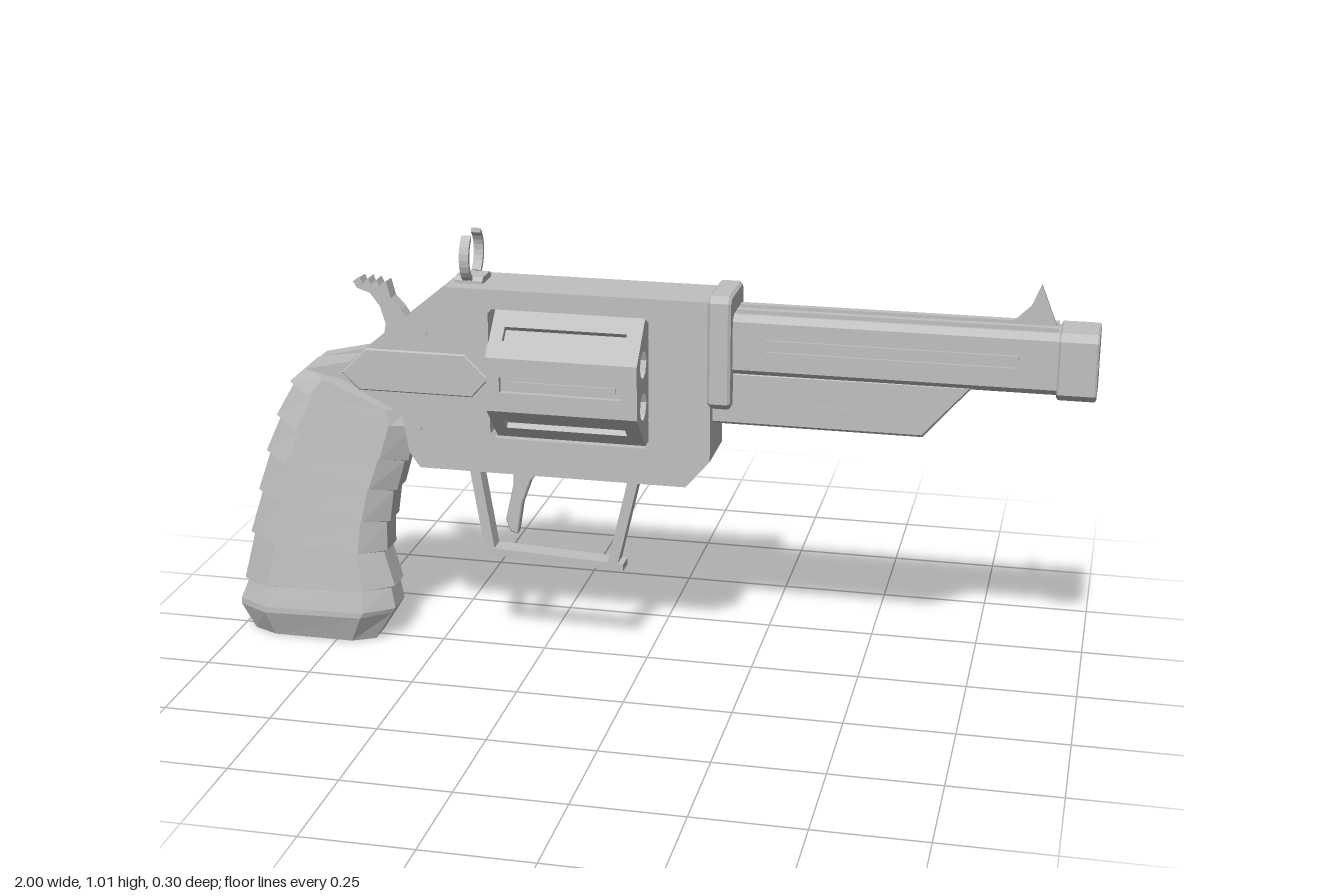
import * as THREE from 'three';

const steel = new THREE.MeshStandardMaterial({ color: 0xc0c0c0 });
steel.name = 'plain grey';

// Faceted mesh
function part(name, geo, parent) {
  const g = geo.index ? geo.toNonIndexed() : geo;
  g.computeVertexNormals();
  const m = new THREE.Mesh(g, steel);
  m.name = name;
  parent.add(m);
  return m;
}
const shapeOf = (pts) => new THREE.Shape(pts.map((p) => new THREE.Vector2(p[0], p[1])));
const pathOf = (pts) => new THREE.Path(pts.map((p) => new THREE.Vector2(p[0], p[1])));

// Side profile (x, y) given thickness from z0 to z1
function slab(pts, z0, z1, hole, bevel = 0) {
  const s = shapeOf(pts);
  if (hole) s.holes.push(pathOf(hole));
  const g = new THREE.ExtrudeGeometry(s, {
    depth: z1 - z0 - 2 * bevel, bevelEnabled: bevel > 0, bevelThickness: bevel,
    bevelSize: bevel, bevelOffset: -bevel, bevelSegments: 1, curveSegments: 8,
  });
  return g.translate(0, 0, z0 + bevel);
}
// Cross-section (z, y) swept along x from x0 to x1
function sweepX(pts, x0, x1, holes = [], bevel = 0) {
  const s = shapeOf(pts);
  holes.forEach((h) => s.holes.push(pathOf(h)));
  const g = new THREE.ExtrudeGeometry(s, {
    depth: x1 - x0 - 2 * bevel, bevelEnabled: bevel > 0, bevelThickness: bevel,
    bevelSize: bevel, bevelOffset: -bevel, bevelSegments: 1,
  });
  return g.rotateY(Math.PI / 2).translate(x0 + bevel, 0, 0);
}
// Rectangle with cut corners, half width w, from y0 to y1
const cutRect = (w, y0, y1, c) => [
  [-w + c, y0], [w - c, y0], [w, y0 + c], [w, y1 - c],
  [w - c, y1], [-w + c, y1], [-w, y1 - c], [-w, y0 + c],
];
const polygon = (cx, cy, r, n, a0 = 0) => Array.from({ length: n }, (_, i) => {
  const a = a0 + (i / n) * Math.PI * 2;
  return [cx + r * Math.cos(a), cy + r * Math.sin(a)];
});
// Straight bar between two points of the side plane
function bar(a, b, t, w) {
  const dx = b[0] - a[0], dy = b[1] - a[1];
  return new THREE.BoxGeometry(Math.hypot(dx, dy), t, w)
    .rotateZ(Math.atan2(dy, dx))
    .translate((a[0] + b[0]) / 2, (a[1] + b[1]) / 2, 0);
}

function buildFrame(root) {
  const g = new THREE.Group();
  g.name = 'frame';
  root.add(g);
  const lower = [[-0.70, 0.665], [-0.56, 0.59], [-0.545, 0.5], [-0.52, 0.465], [0.105, 0.465], [0.16, 0.53], [0.16, 0.9], [-0.45, 0.9]];
  const cheek = [[-0.79, 0.685], ...lower, [-0.68, 0.71]];
  const core = [[-0.79, 0.685], ...lower, [-0.48, 0.875], [-0.51, 0.75], [-0.66, 0.705]];
  const win = [[-0.35, 0.56], [-0.34, 0.55], [0.01, 0.55], [0.02, 0.56], [0.02, 0.845], [0.01, 0.855], [-0.34, 0.855], [-0.35, 0.845]];
  part('frameCore', slab(core, -0.03, 0.03, win), g);
  const panel = [[-0.70, 0.685], [-0.66, 0.645], [-0.39, 0.645], [-0.35, 0.69], [-0.405, 0.745], [-0.64, 0.745]];
  for (const s of [-1, 1]) {
    part('frameCheek', s > 0 ? slab(cheek, 0.03, 0.073, win) : slab(cheek, -0.073, -0.03, win), g);
    part('sidePanel', slab(panel, s > 0 ? 0.07 : -0.079, s > 0 ? 0.079 : -0.07, null, 0.003), g);
    for (const [x, y] of [[-0.5, 0.79], [-0.52, 0.56]]) {
      part('pin', new THREE.CylinderGeometry(0.007, 0.007, 0.006, 8).rotateX(Math.PI / 2).translate(x, y, s * 0.075), g);
    }
  }
  part('frontBand', sweepX(cutRect(0.082, 0.655, 0.915, 0.014), 0.153, 0.205, [], 0.006), g);
  part('sideScrew', new THREE.CylinderGeometry(0.02, 0.02, 0.02, 8).rotateX(Math.PI / 2).translate(-0.45, 0.545, -0.078), g);
  part('frontScrew', new THREE.CylinderGeometry(0.013, 0.013, 0.03, 8).rotateX(Math.PI / 2).translate(0.07, 0.463, -0.07), g);
}

function buildDrum(root) {
  const g = new THREE.Group();
  g.name = 'drum';
  root.add(g);
  // Octagon, plain or with a slot in every face
  const R = 0.15, half = R * Math.tan(Math.PI / 8);
  const ring = (slot) => {
    const pts = [];
    for (let i = 0; i < 8; i++) {
      const a = (i / 8) * Math.PI * 2, c = Math.cos(a), s = Math.sin(a);
      const add = (r, t) => pts.push([r * c - t * s, r * s + t * c]);
      add(R, -half);
      if (slot) { add(R, -0.018); add(R - 0.014, -0.018); add(R - 0.014, 0.018); add(R, 0.018); }
    }
    return pts;
  };
  const spots = polygon(0, 0, 0.098, 6, Math.PI / 6);
  const chambers = spots.map(([x, y]) => polygon(x, y, 0.033, 8));
  part('drumRear', sweepX(ring(false), -0.335, -0.305), g);
  part('drumBody', sweepX(ring(true), -0.305, -0.025, chambers), g);
  part('drumFront', sweepX(ring(false), -0.025, 0.01, chambers), g);
  for (const [z, y] of spots) {
    part('rearRim', new THREE.CylinderGeometry(0.03, 0.03, 0.012, 8).rotateZ(Math.PI / 2).translate(-0.34, y, -z), g);
  }
  part('axle', new THREE.CylinderGeometry(0.03, 0.03, 0.39, 8).rotateZ(Math.PI / 2).translate(-0.165, 0, 0), g);
  // Thin raised lines on the two outer faces
  for (const s of [-1, 1]) part('drumLine', new THREE.BoxGeometry(0.25, 0.012, 0.006).translate(-0.165, 0, s * 0.137), g);
  g.position.y = 0.703;
}

function buildBarrel(root) {
  const g = new THREE.Group();
  g.name = 'barrel';
  root.add(g);
  part('barrelBody', sweepX(cutRect(0.053, 0.73, 0.868, 0.014), 0.2, 0.925), g);
  part('muzzle', sweepX(cutRect(0.065, 0.722, 0.873, 0.016), 0.915, 1, [polygon(0, 0.797, 0.022, 8, Math.PI / 8)], 0.004), g);
  for (const s of [-1, 1]) {
    for (const y of [0.785, 0.812]) part('sideRidge', new THREE.BoxGeometry(0.55, 0.01, 0.008).translate(0.555, y, s * 0.055), g);
    part('topRail', new THREE.BoxGeometry(0.7, 0.012, 0.018).translate(0.56, 0.871, s * 0.022), g);
  }
  part('underLug', slab([[0.15, 0.612], [0.63, 0.612], [0.735, 0.735], [0.15, 0.735]], -0.043, 0.043, null, 0.006), g);
  for (const s of [-1, 1]) part('lugLine', new THREE.BoxGeometry(0.45, 0.006, 0.004).translate(0.39, 0.665, s * 0.043), g);
  part('frontSight', slab([[0.8, 0.865], [0.91, 0.865], [0.895, 0.9], [0.87, 0.963], [0.85, 0.915]], -0.007, 0.007), g);
}

function buildRearSight(root) {
  const g = new THREE.Group();
  g.name = 'rearSight';
  root.add(g);
  part('sightBase', sweepX(cutRect(0.035, 0.89, 0.915, 0.008), -0.437, -0.372), g);
  // Two crescent horns
  for (const s of [-1, 1]) {
    const pts = [];
    const arc = (r, a0, a1) => {
      for (let i = 0; i <= 8; i++) {
        const a = a0 + ((a1 - a0) * i) / 8;
        pts.push([s * r * Math.cos(a), 0.96 + r * Math.sin(a)]);
      }
    };
    arc(0.064, -0.95, 0.95);
    arc(0.055, 0.85, -0.95);
    part('sightHorn', sweepX(pts, -0.417, -0.395), g);
  }
}

function buildHammerAndTrigger(root) {
  part('hammer', slab([
    [-0.55, 0.73], [-0.55, 0.79], [-0.572, 0.825], [-0.595, 0.85], [-0.605, 0.888],
    [-0.622, 0.878], [-0.628, 0.892], [-0.642, 0.88], [-0.648, 0.894], [-0.662, 0.88],
    [-0.668, 0.894], [-0.685, 0.885], [-0.675, 0.87], [-0.645, 0.86], [-0.622, 0.83], [-0.61, 0.79], [-0.62, 0.73],
  ], -0.019, 0.019), root);
  part('trigger', slab([
    [-0.245, 0.47], [-0.275, 0.425], [-0.295, 0.37], [-0.307, 0.295], [-0.325, 0.3],
    [-0.335, 0.33], [-0.325, 0.375], [-0.315, 0.42], [-0.315, 0.47],
  ], -0.014, 0.014, null, 0.003), root);
  const g = new THREE.Group();
  g.name = 'triggerGuard';
  root.add(g);
  part('guardRear', bar([-0.41, 0.48], [-0.372, 0.245], 0.024, 0.042), g);
  part('guardFront', bar([-0.022, 0.48], [-0.078, 0.24], 0.024, 0.042), g);
  part('guardBottom', bar([-0.387, 0.25], [-0.052, 0.235], 0.018, 0.046), g);
}

// Grip of overlapping slats: tilted eight-sided rings lofted upward
function buildGrip(root) {
  const rings = [];
  // back point, front point, half width, flat half width at the ends, inset
  const ring = (b, f, w, e, k = 0) => {
    const len = Math.hypot(f[0] - b[0], f[1] - b[1]);
    const at = (t, z) => {
      const u = k / len + t * (1 - (2 * k) / len);
      return [b[0] + (f[0] - b[0]) * u, b[1] + (f[1] - b[1]) * u, z];
    };
    const h = w - k;
    rings.push([at(0, e), at(0.2, h), at(0.83, h), at(1, e), at(1, -e), at(0.83, -h), at(0.2, -h), at(0, -e)]);
  };
  ring([-0.965, 0.003], [-0.66, 0.003], 0.058, 0.03);
  ring([-0.998, 0.065], [-0.615, 0.075], 0.082, 0.035);
  ring([-0.997, 0.08], [-0.607, 0.088], 0.082, 0.035);
  const levels = [
    [[-0.985, 0.13], [-0.607, 0.14]],
    [[-0.963, 0.25], [-0.622, 0.23]],
    [[-0.937, 0.36], [-0.612, 0.305]],
    [[-0.912, 0.46], [-0.592, 0.385]],
    [[-0.882, 0.55], [-0.562, 0.46]],
    [[-0.845, 0.635], [-0.535, 0.545]],
  ];
  levels.forEach(([b, f]) => {
    ring(b, f, 0.082, 0.033, 0.009);
    ring([b[0], b[1] + 0.004], [f[0], f[1] + 0.004], 0.082, 0.033);
  });
  ring([-0.795, 0.683], [-0.56, 0.585], 0.078, 0.033);

  const pos = rings.flat(2), idx = [], n = 8;
  for (let r = 0; r < rings.length - 1; r++) {
    for (let i = 0; i < n; i++) {
      const a = r * n + i, b = r * n + ((i + 1) % n);
      idx.push(a, b, b + n, a, b + n, a + n);
    }
  }
  const top = (rings.length - 1) * n;
  for (let i = 1; i < n - 1; i++) idx.push(0, i + 1, i, top, top + i, top + i + 1);
  const geo = new THREE.BufferGeometry();
  geo.setAttribute('position', new THREE.Float32BufferAttribute(pos, 3));
  geo.setIndex(idx);
  part('grip', geo, root);
}

export function createModel() {
  const root = new THREE.Group();
  root.name = 'revolver';
  buildFrame(root);
  buildDrum(root);
  buildBarrel(root);
  buildRearSight(root);
  buildHammerAndTrigger(root);
  buildGrip(root);
  return root;
}
